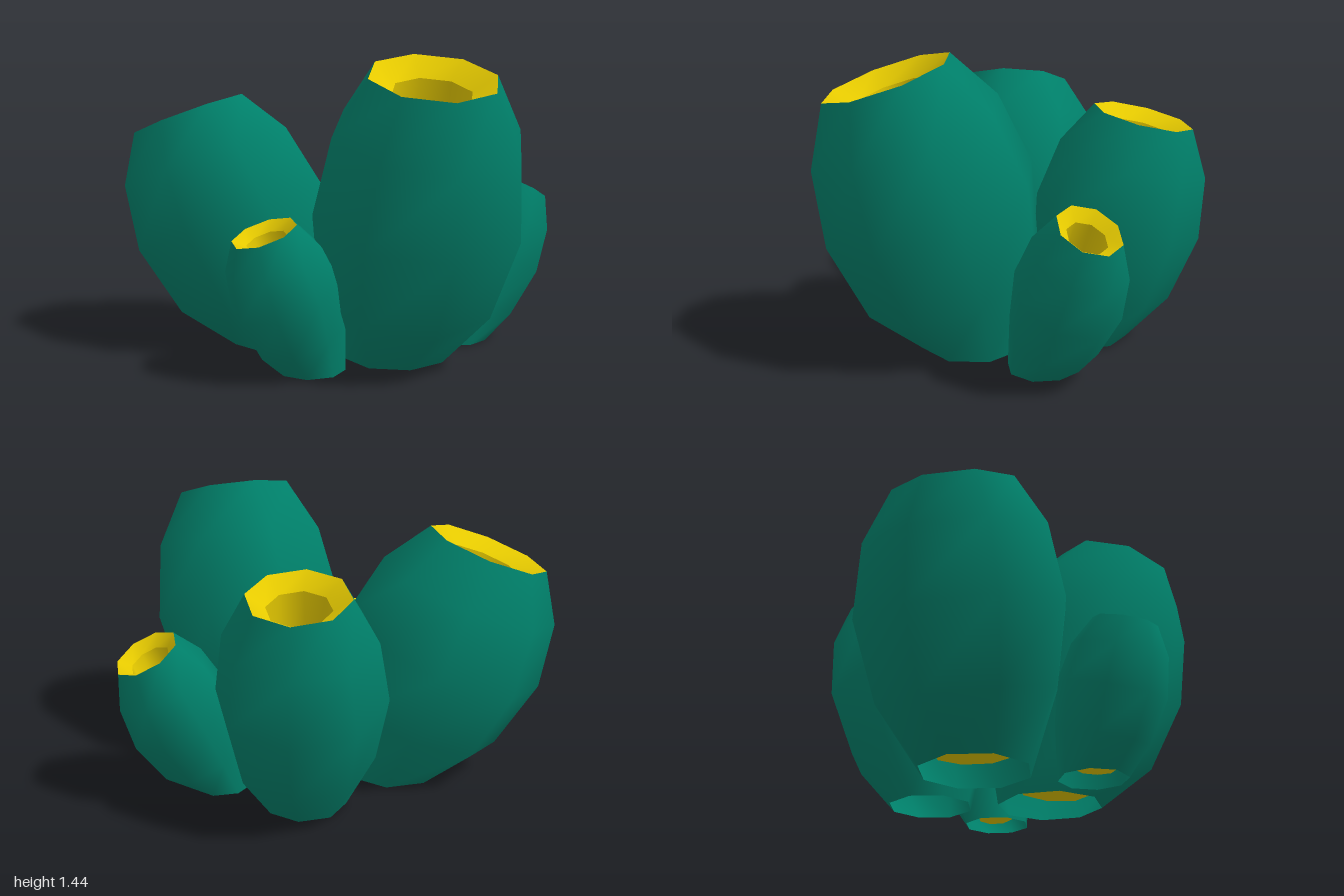
import * as THREE from 'three';

const SIDES = 8;
// Outer profile above the foot: [height fraction, radius fraction]
const PROFILE = [[0.262, 0.855], [0.556, 1], [0.815, 0.88], [1, 0.59]];

const skin = new THREE.MeshStandardMaterial({ color: 0x00806a, side: THREE.DoubleSide });
skin.name = 'teal skin';
const lining = new THREE.MeshStandardMaterial({ color: 0xe6ca00, side: THREE.DoubleSide });
lining.name = 'yellow lining';

// base [x, z], top [x, y, z], tilt = slope of the rings along x and z,
// bow = sideways bulge of the axis, foot = radius fraction at the ground
const TUBES = [
  { name: 'frontTube', base: [-0.03, 0.28], top: [-0.202, 1.343, 0.647], radius: 0.495, tilt: [0.2, -0.275], turn: 32, bow: 0.025, foot: 0.51, floor: 0.06 },
  { name: 'backLeftTube', base: [-0.22, -0.32], top: [-0.513, 1.147, -0.668], radius: 0.482, tilt: [0.2, 0.31], turn: 20, bow: 0.005, foot: 0.53, floor: 0.06 },
  { name: 'backRightTube', base: [0.34, -0.16], top: [0.56, 1.12, -0.285], radius: 0.397, tilt: [-0.2, 0.11], turn: 19, bow: 0, foot: 0.51, floor: 0.1 },
  { name: 'smallRightTube', base: [0.405, 0.3], top: [0.75, 0.77, 0.435], radius: 0.242, tilt: [-0.47, -0.18], turn: 22, bow: 0.005, foot: 0.67, floor: 0.06 },
  { name: 'smallLeftTube', base: [-0.465, 0.15], top: [-0.725, 0.67, 0.132], radius: 0.245, tilt: [0.36, 0.04], turn: 5, bow: 0, foot: 0.65, floor: 0.06 },
];

// Skin a list of [height fraction, radius] rings placed along the leaning axis
function loft(tube, rings) {
  const { base, top, tilt, turn, bow } = tube;
  const positions = [], index = [];
  rings.forEach(([t, r], i) => {
    const lean = Math.min(1, t / 0.27); // the foot is flat on the ground
    for (let j = 0; j < SIDES; j++) {
      const a = THREE.MathUtils.degToRad(turn) + (j / SIDES) * Math.PI * 2;
      const dx = r * Math.cos(a), dz = r * Math.sin(a);
      positions.push(
        THREE.MathUtils.lerp(base[0], top[0], t) + 4 * bow * t * (1 - t) + dx,
        Math.max(0, top[1] * t + lean * (tilt[0] * dx + tilt[1] * dz)),
        THREE.MathUtils.lerp(base[1], top[2], t) + dz
      );
      if (i === rings.length - 1) continue;
      const p = i * SIDES + j, q = i * SIDES + (j + 1) % SIDES;
      index.push(p, p + SIDES, q, q, p + SIDES, q + SIDES);
    }
  });
  const geometry = new THREE.BufferGeometry();
  geometry.setAttribute('position', new THREE.Float32BufferAttribute(positions, 3));
  geometry.setIndex(index);
  geometry.computeVertexNormals();
  return geometry;
}

function makeTube(tube) {
  const group = new THREE.Group();
  group.name = tube.name;
  const { radius, foot, floor } = tube;
  const add = (name, material, rings) => {
    const mesh = new THREE.Mesh(loft(tube, rings), material);
    mesh.name = name;
    group.add(mesh);
  };
  const hole = 0.37 * radius, lip = 0.948;
  add('outerWall', skin, [[0, foot], ...PROFILE].map(([t, r]) => [t, r * radius]));
  // Rim slopes down to the hole
  add('rim', lining, [[1, 0.59 * radius], [lip, hole]]);
  add('innerWall', lining, [[lip, hole], [0.6, hole], [0.27, hole], [floor, hole]]);
  add('innerFloor', lining, [[floor, hole], [floor, 0]]);
  return group;
}

export function createModel() {
  const model = new THREE.Group();
  model.name = 'tubeSpongeCluster';
  TUBES.forEach((tube) => model.add(makeTube(tube)));
  return model;
}
